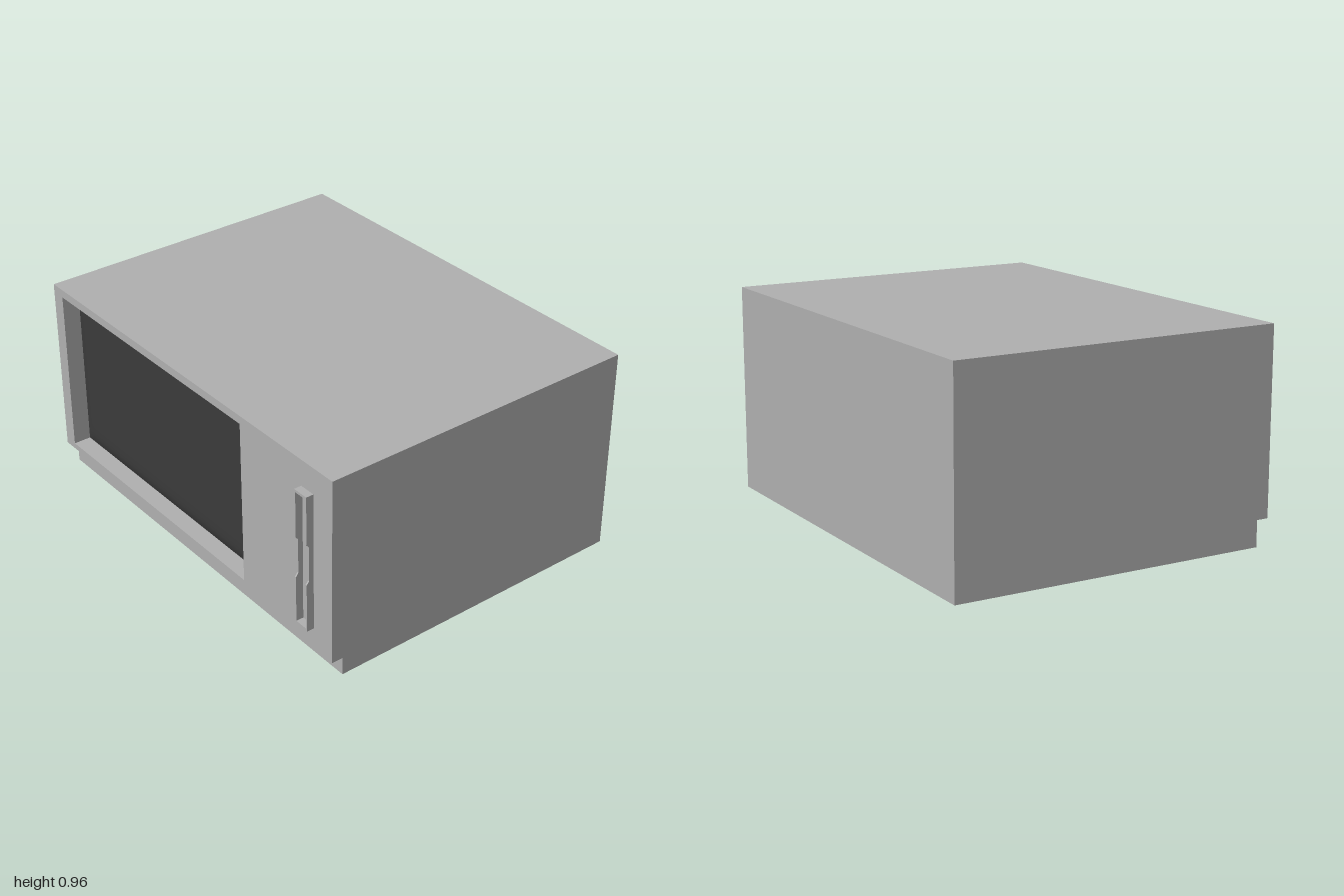
import * as THREE from 'three';

export function createModel() {
  const group = new THREE.Group();
  const casing = new THREE.MeshStandardMaterial({ color: 0xb0b0b0 });
  casing.name = 'casing grey';
  const glass = new THREE.MeshStandardMaterial({ color: 0x3b3b3b });
  glass.name = 'screen dark grey';

  function add(name, geometry, material) {
    const mesh = new THREE.Mesh(geometry, material);
    mesh.name = name;
    group.add(mesh);
    return mesh;
  }

  // Box given by its lower and upper corners
  function block(name, [x0, y0, z0], [x1, y1, z1], material = casing) {
    const geometry = new THREE.BoxGeometry(x1 - x0, y1 - y0, z1 - z0);
    geometry.translate((x0 + x1) / 2, (y0 + y1) / 2, (z0 + z1) / 2);
    return add(name, geometry, material);
  }

  const polygon = (points, Type = THREE.Shape) =>
    new Type(points.map(([x, y]) => new THREE.Vector2(x, y)));

  const back = -0.78, recess = 0.66, plinthFront = 0.69, front = 0.745;
  const left = -0.932, right = 0.41, bottom = 0.148, top = 0.922;

  // Cabinet and set-back plinth
  block('cabinet', [-1, 0, back], [1, 0.96, recess]);
  block('plinth', [-1, 0, recess], [1, 0.085, plinthFront]);
  block('plinthStep', [-1, 0.085, recess], [right, 0.12, plinthFront]);

  // Front panel with the screen opening and stepped lower edge
  const panel = polygon([[-1, 0.12], [right, 0.12], [right, 0.085], [1, 0.085], [1, 0.96], [-1, 0.96]]);
  panel.holes.push(polygon([[left, bottom], [left, top], [right - 0.001, top], [right - 0.001, bottom]], THREE.Path));
  add('frontPanel', new THREE.ExtrudeGeometry(panel, { depth: front - recess, bevelEnabled: false }), casing)
    .position.z = recess;

  // Slightly domed screen, falling away at its rim
  const width = right - left, height = top - bottom;
  const screen = new THREE.PlaneGeometry(width, height, 48, 32);
  const p = screen.attributes.position;
  for (let i = 0; i < p.count; i++) {
    const u = Math.abs(p.getX(i) / (width / 2)), v = Math.abs(p.getY(i) / (height / 2));
    p.setZ(i, 0.002 + 0.014 * (1 - u ** 24) * (1 - v ** 16));
  }
  screen.computeVertexNormals();
  add('screen', screen, glass).position.set((left + right) / 2, (bottom + top) / 2, recess);

  // Hollow control strip: two notched side rails joined by end walls
  const x0 = 0.808, x1 = 0.884, wall = 0.007, tip = 0.78;
  const rail = polygon([
    [front, 0.19], [tip, 0.19], [tip, 0.42], [0.768, 0.436],
    [0.768, 0.6], [tip, 0.616], [tip, 0.84], [front, 0.84],
  ]);
  const railGeometry = new THREE.ExtrudeGeometry(rail, { depth: wall, bevelEnabled: false });
  railGeometry.rotateY(-Math.PI / 2); // profile z-y, thickness towards -x
  for (const [name, x] of [['stripRailRight', x0 + wall], ['stripRailLeft', x1]]) {
    add(name, railGeometry, casing).position.x = x;
  }
  block('stripEndBottom', [x0 + wall, 0.19, front], [x1 - wall, 0.202, tip]);
  block('stripEndTop', [x0 + wall, 0.828, front], [x1 - wall, 0.84, tip]);

  return group;
}
